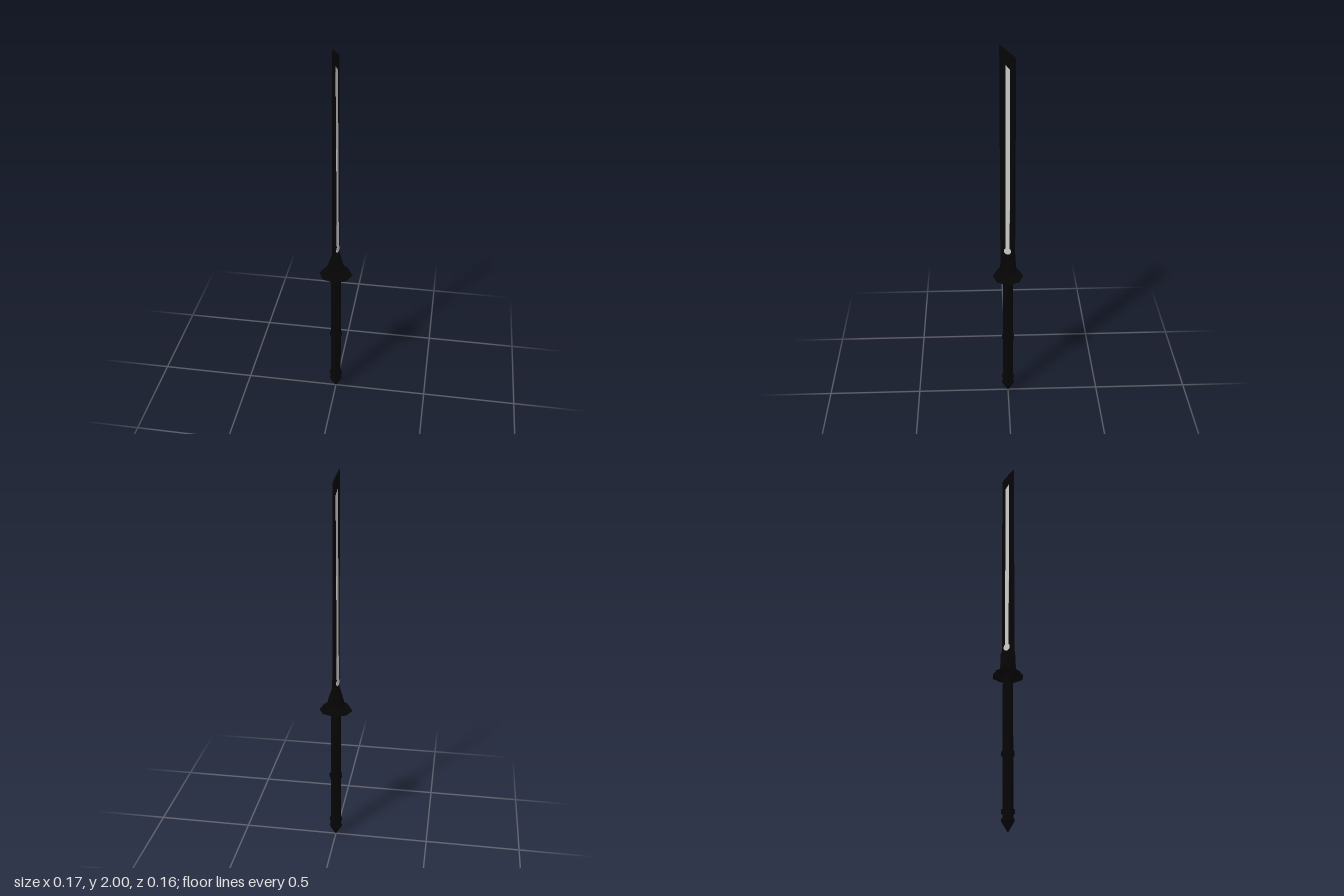
import * as THREE from 'three';

const dark = new THREE.MeshStandardMaterial({ color: 0x050505, flatShading: true });
const darkThin = new THREE.MeshStandardMaterial({ color: 0x050505, side: THREE.DoubleSide });
const pale = new THREE.MeshStandardMaterial({ color: 0xffffff, flatShading: true });

const BLADE_TURN = -0.3;
// Half thickness of the blade, tapering towards the tip
const halfThick = (y) => THREE.MathUtils.lerp(0.011, 0.003, (y - 0.82) / 1.18);

function add(parent, name, geometry, material = dark) {
  const mesh = new THREE.Mesh(geometry, material);
  mesh.name = name;
  parent.add(mesh);
  return mesh;
}

// Eight-sided turned part between two heights
function turned(parent, name, y0, y1, r0, r1 = r0) {
  const mesh = add(parent, name, new THREE.CylinderGeometry(r1, r0, y1 - y0, 8));
  mesh.position.y = (y0 + y1) / 2;
  return mesh;
}

// Six-sided tapered blade with a slanted tip
function bladeGeometry() {
  const section = [[0, 0.041], [1, 0.021], [1, -0.021], [0, -0.038], [-1, -0.021], [-1, 0.021]];
  const pos = [], index = [], n = section.length;
  for (let level = 0; level < 2; level++) {
    for (const [side, z] of section) {
      const y = level ? 1.972 + z * 0.7 : 0.82;
      pos.push(side * halfThick(y), y, z);
    }
  }
  for (let i = 0; i < n; i++) {
    const j = (i + 1) % n;
    index.push(i, j, n + j, i, n + j, n + i);
  }
  for (let i = 1; i < n - 1; i++) index.push(0, i + 1, i, n, n + i, n + i + 1);
  const g = new THREE.BufferGeometry();
  g.setAttribute('position', new THREE.Float32BufferAttribute(pos, 3));
  g.setIndex(index);
  g.computeVertexNormals();
  return g;
}

// Narrow strip with a round foot, standing just proud of both blade faces
function inlayGeometry() {
  const r = 0.019, w = 0.0115, cy = 0.926;
  const a = Math.acos(w / r);
  const s = new THREE.Shape();
  s.moveTo(-w, 1.912);
  s.lineTo(-w, cy + r * Math.sin(a));
  s.absarc(0, cy, r, Math.PI - a, 2 * Math.PI + a, false);
  s.lineTo(w, 1.888);
  s.closePath();
  const g = new THREE.ExtrudeGeometry(s, { depth: 2, bevelEnabled: false, curveSegments: 10 });
  g.translate(0, 0, -1);
  g.rotateY(Math.PI / 2);
  const p = g.attributes.position;
  for (let i = 0; i < p.count; i++) {
    p.setX(i, Math.sign(p.getX(i)) * (halfThick(p.getY(i)) + 0.0008));
  }
  g.computeVertexNormals();
  return g;
}

// Collar: round at the foot, narrowing to the blade
function collarGeometry() {
  const g = new THREE.CylinderGeometry(0.038, 0.044, 0.1, 8, 2);
  const p = g.attributes.position;
  for (let i = 0; i < p.count; i++) {
    const y = p.getY(i);
    if (Math.abs(y) < 0.01) p.setY(i, -0.025);
    if (y > 0.04) p.setX(i, p.getX(i) * 0.45);
  }
  g.translate(0, 0.852, 0);
  g.computeVertexNormals();
  return g;
}

export function createModel() {
  const sword = new THREE.Group();
  sword.name = 'sword';

  // Blade, slightly turned about its axis
  const blade = new THREE.Group();
  blade.name = 'bladeGroup';
  blade.rotation.y = BLADE_TURN;
  sword.add(blade);
  add(blade, 'blade', bladeGeometry());
  add(blade, 'bladeInlay', inlayGeometry(), pale);
  add(sword, 'collar', collarGeometry());

  // Guard of three thin stacked plates
  [[0.79, 0.07], [0.779, 0.078], [0.768, 0.087]].forEach(([y, r], i) => {
    const plate = add(sword, `guardPlate${i + 1}`, new THREE.CircleGeometry(r, 8), darkThin);
    plate.rotation.x = -Math.PI / 2;
    plate.scale.y = 0.92;
    plate.position.y = y;
  });

  // Grip, rings and pointed pommel
  turned(sword, 'grip', 0.05, 0.81, 0.027);
  turned(sword, 'gripRing', 0.364, 0.384, 0.034);
  turned(sword, 'lowerRing', 0.088, 0.104, 0.034);
  turned(sword, 'pommelRim', 0.052, 0.062, 0.033);
  turned(sword, 'pommelPoint', 0, 0.052, 0.001, 0.033);
  return sword;
}
